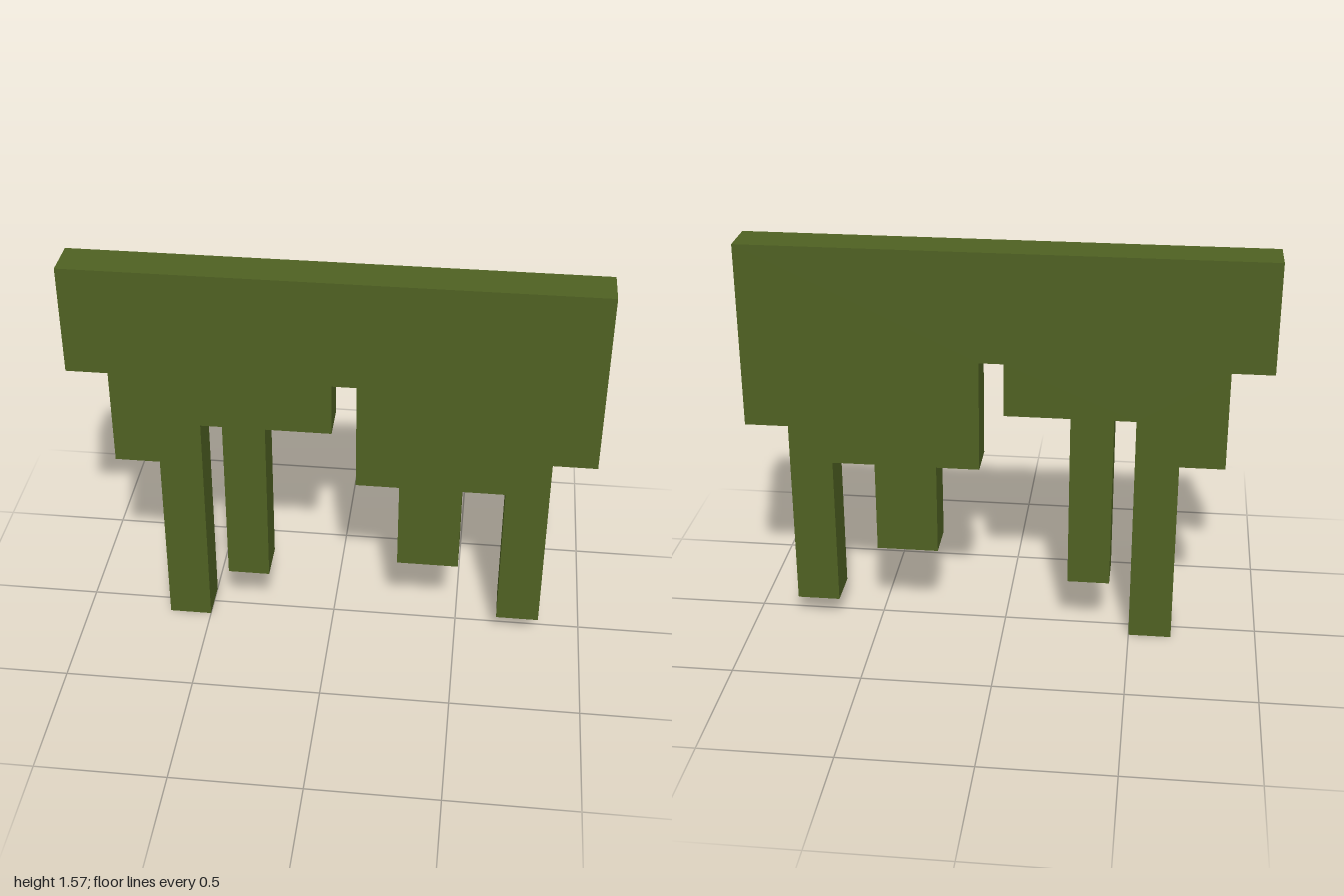
import * as THREE from 'three';

const TOP = 1.57, DEPTH = 0.16;

// Lower edge, left to right: [start x, end x, bottom y] of each hanging strand
const STEPS = [
  [-1, -0.84, 1.14],
  [-0.84, -0.667, 0.75],
  [-0.667, -0.5, 0],
  [-0.5, -0.417, 0.93],
  [-0.417, -0.253, 0.23],
  [-0.253, 0, 0.93],
  [0, 0.093, 1.14],
  [0.093, 0.26, 0.7],
  [0.26, 0.5, 0.335],
  [0.5, 0.665, 0.7],
  [0.665, 0.832, 0.09],
  [0.832, 1, 0.847],
];

export function createModel() {
  const group = new THREE.Group();
  group.name = 'hangingMoss';
  const mossGreen = new THREE.MeshStandardMaterial({ color: 0x4f6122 });
  mossGreen.name = 'moss green';

  // Stepped curtain outline: along the ragged bottom, then back over the flat top
  const outline = new THREE.Shape();
  outline.moveTo(-1, STEPS[0][2]);
  for (const [x0, x1, y] of STEPS) {
    outline.lineTo(x0, y);
    outline.lineTo(x1, y);
  }
  outline.lineTo(1, TOP);
  outline.lineTo(-1, TOP);
  outline.closePath();

  const geometry = new THREE.ExtrudeGeometry(outline, { depth: DEPTH, bevelEnabled: false });
  geometry.translate(0, 0, -DEPTH / 2);
  const curtain = new THREE.Mesh(geometry, mossGreen);
  curtain.name = 'mossCurtain';
  group.add(curtain);
  return group;
}
